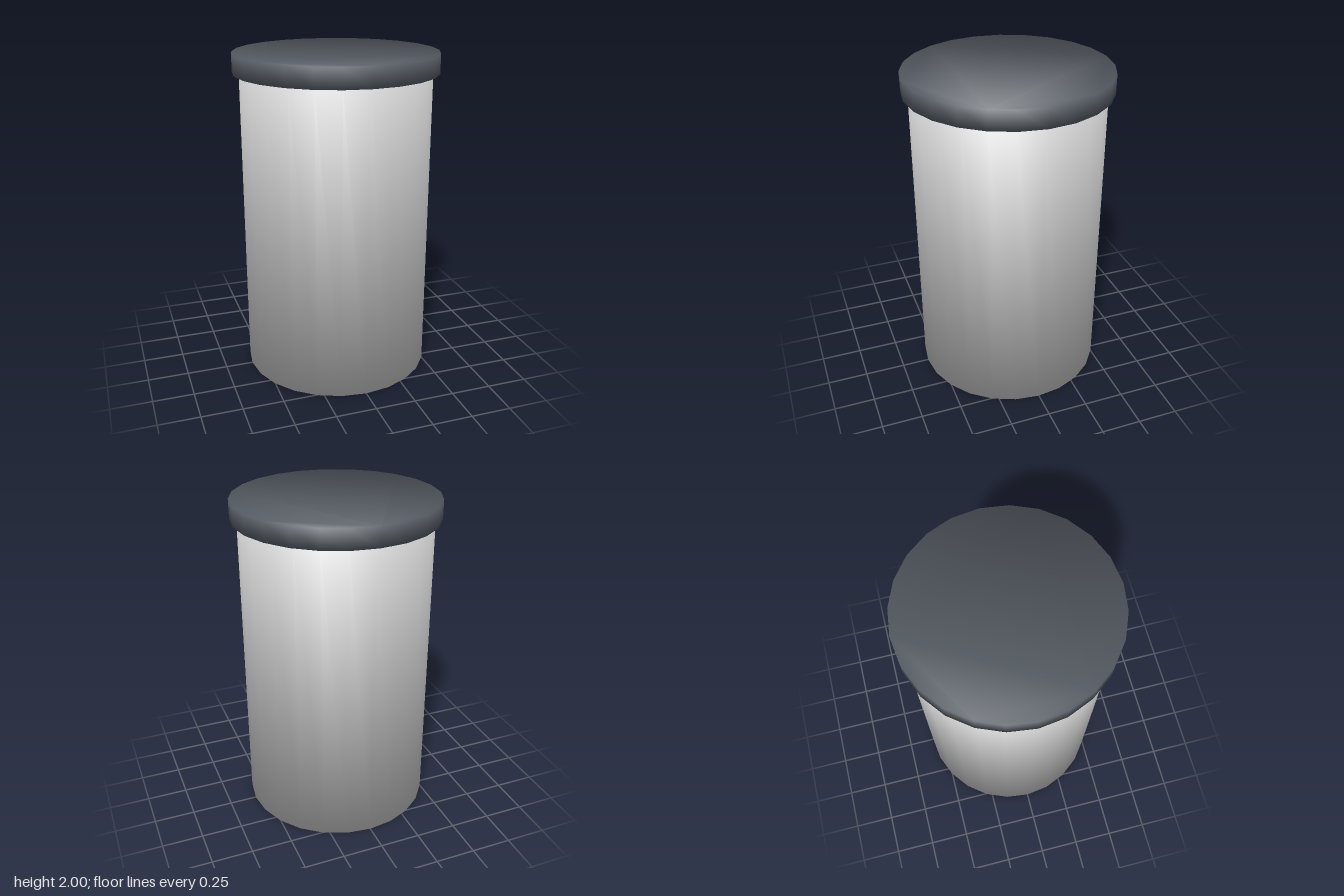
import * as THREE from 'three';

const SIDES = 24;

// Upright prism with normals blended softly across its rims
function softDrum(radius, bottom, top) {
  const outline = [];
  for (let i = 0; i < SIDES; i++) {
    const a = (i / SIDES) * Math.PI * 2;
    outline.push(new THREE.Vector2(Math.cos(a) * radius, Math.sin(a) * radius));
  }
  const geometry = new THREE.ExtrudeGeometry(new THREE.Shape(outline), {
    depth: top - bottom, bevelEnabled: false, steps: 1,
  });
  geometry.rotateX(-Math.PI / 2);
  geometry.translate(0, bottom, 0);

  // Every rim normal leans 45 degrees between the side and the cap
  const { position, normal } = geometry.attributes;
  const middle = (bottom + top) / 2;
  const n = new THREE.Vector3();
  for (let i = 0; i < position.count; i++) {
    n.set(position.getX(i) / radius, position.getY(i) > middle ? 1 : -1, position.getZ(i) / radius);
    n.normalize();
    normal.setXYZ(i, n.x, n.y, n.z);
  }
  return geometry;
}

export function createModel() {
  const group = new THREE.Group();
  group.name = 'canister';

  // Tall container
  const body = new THREE.Mesh(
    softDrum(0.58, 0, 1.88),
    new THREE.MeshStandardMaterial({ color: 0xcccccc }),
  );
  body.name = 'body';

  // Dark lid overhanging the container
  const lid = new THREE.Mesh(
    softDrum(0.62, 1.88, 2),
    new THREE.MeshStandardMaterial({ color: 0x555b63 }),
  );
  lid.name = 'lid';

  group.add(body, lid);
  return group;
}
